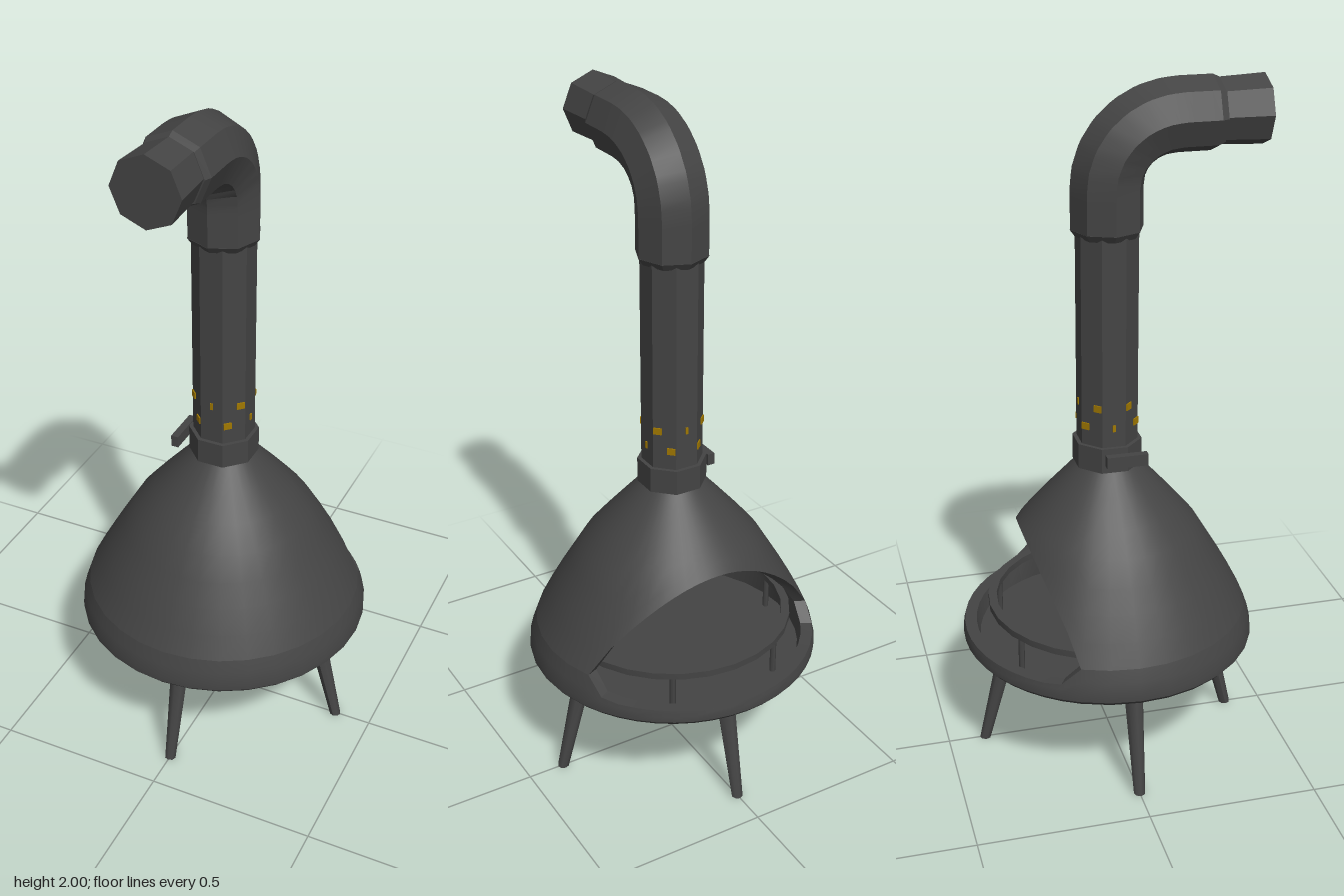
import * as THREE from 'three';
import { toCreasedNormals, mergeVertices } from 'three/addons/utils/BufferGeometryUtils.js';

const iron = new THREE.MeshStandardMaterial({ color: 0x444444, side: THREE.DoubleSide });
iron.name = 'dark iron';
const brass = new THREE.MeshStandardMaterial({ color: 0xa07800 });
brass.name = 'brass';

// Piecewise linear lookup in a list of [input, output] pairs
function lookup(table, v) {
  if (v <= table[0][0]) return table[0][1];
  for (let i = 1; i < table.length; i++) {
    const [a, fa] = table[i - 1], [b, fb] = table[i];
    if (v <= b) return fa + (fb - fa) * (v - a) / (b - a);
  }
  return table[table.length - 1][1];
}

// Hood radius by height, and the mouth's cut depth by height
const HOOD = [[0.37, 0.435], [0.43, 0.42], [0.49, 0.39], [0.56, 0.352], [0.635, 0.307],
  [0.71, 0.262], [0.8, 0.185], [0.905, 0.09]];
const CUT = [[0.445, 0.17], [0.47, 0.172], [0.55, 0.2], [0.71, 0.262]];
const SILL = [[0.17, 0.445], [0.18, 0.42], [0.2, 0.402], [0.25, 0.392], [0.43, 0.388]];
const radius = (y) => lookup(HOOD, y);
const SEAM = 0.445, TOP = 0.905, WALL = 0.035;
const MOUTH = Math.acos(0.17 / radius(SEAM)); // half angle of the mouth, about -z

// Upper edge of the mouth at an angle, by bisection
function upperEdge(a) {
  if (Math.abs(a) >= MOUTH) return SEAM;
  let lo = SEAM, hi = 0.71;
  for (let i = 0; i < 30; i++) {
    const y = (lo + hi) / 2;
    if (radius(y) * Math.cos(a) > lookup(CUT, y)) lo = y; else hi = y;
  }
  return hi;
}

function lowerEdge(a) {
  return Math.abs(a) >= MOUTH ? SEAM : lookup(SILL, 0.425 * Math.cos(a));
}

// Columns: denser across the mouth, then around the back
const angles = [];
for (let i = 0; i <= 18; i++) angles.push(-MOUTH + 2 * MOUTH * i / 18);
for (let i = 1; i <= 20; i++) angles.push(MOUTH + (2 * Math.PI - 2 * MOUTH) * i / 20);

// Sweep a section of [radius, y] points, which varies by angle, around the axis
function sweep(section) {
  const pos = [], index = [];
  let n = 0;
  angles.forEach((a, c) => {
    const pts = section(a > MOUTH + 1e-6 ? Math.PI : a);
    n = pts.length;
    for (const [r, y] of pts) pos.push(r * Math.sin(a), y, -r * Math.cos(a));
    if (c === 0) return;
    for (let j = 0; j < n - 1; j++) {
      const p = (c - 1) * n + j, q = c * n + j;
      index.push(p, p + 1, q, q, p + 1, q + 1);
    }
  });
  const g = new THREE.BufferGeometry();
  g.setAttribute('position', new THREE.Float32BufferAttribute(pos, 3));
  g.setIndex(index);
  return toCreasedNormals(mergeVertices(g), 0.5);
}

export function createModel() {
  const model = new THREE.Group();
  model.name = 'fireplace';
  const add = (name, geo, mat = iron, x = 0, y = 0, z = 0) => {
    const m = new THREE.Mesh(geo, mat);
    m.name = name;
    m.position.set(x, y, z);
    model.add(m);
    return m;
  };

  // Bowl with sill and firebox floor
  add('bowl', sweep((a) => {
    const y = lowerEdge(a), mid = (0.37 + y) / 2;
    return [[0, 0.26], [0.305, 0.26], [0.425, 0.34], [0.435, 0.352], [0.435, 0.37],
      [radius(mid), mid], [radius(y), y], [radius(y) - WALL, y], [0.385, 0.34], [0, 0.34]];
  }));

  // Double-walled hood over the mouth
  add('hood', sweep((a) => {
    const y0 = upperEdge(a), outer = [], inner = [];
    for (let i = 0; i <= 7; i++) {
      const y = y0 + (TOP - y0) * i / 7;
      outer.push([radius(y), y]);
      inner.unshift([radius(y) - WALL, y]);
    }
    return [...inner, ...outer];
  }));

  // Grate ring on posts
  const ring = [[0.333, 0.444], [0.358, 0.444], [0.358, 0.464], [0.333, 0.464], [0.333, 0.444]]
    .map(([r, y]) => new THREE.Vector2(r, y));
  add('grateRing', toCreasedNormals(new THREE.LatheGeometry(ring, 28), 0.5));
  for (let i = 0; i < 6; i++) {
    const a = (i + 0.5) * Math.PI / 3;
    add('gratePost', new THREE.CylinderGeometry(0.009, 0.009, 0.11, 6), iron,
      0.345 * Math.sin(a), 0.392, 0.345 * Math.cos(a));
  }

  // Splayed round legs
  for (let i = 0; i < 4; i++) {
    const leg = new THREE.Group();
    leg.name = 'leg';
    const g = new THREE.CylinderGeometry(0.027, 0.017, 0.28, 8);
    const p = g.attributes.position;
    for (let k = 0; k < p.count; k++) p.setX(k, p.getX(k) + 0.352 - p.getY(k) * 0.25);
    g.translate(0, 0.14, 0);
    g.computeVertexNormals();
    const m = new THREE.Mesh(g, iron);
    m.name = 'legShaft';
    leg.add(m);
    leg.rotation.y = i * Math.PI / 2;
    model.add(leg);
  }

  // Octagonal flue pipe and collar
  const octagon = (rTop, rBottom, h, turn) => toCreasedNormals(
    new THREE.CylinderGeometry(rTop, rBottom, h, 8).rotateY(turn), 0.4);
  add('collar', octagon(0.101, 0.101, 0.075, Math.PI / 8), iron, 0, 0.94, 0);
  add('fluePipe', octagon(0.089, 0.089, 0.7, Math.PI / 8), iron, 0, 1.26, 0);

  // Elbow bending to the front
  add('elbowBase', octagon(0.104, 0.09, 0.02, 0), iron, 0, 1.59, 0);
  const bend = [new THREE.Vector3(0, 1.6, 0)];
  for (let i = 0; i <= 6; i++) {
    const a = i * Math.PI / 12;
    bend.push(new THREE.Vector3(0, 1.72 + 0.177 * Math.sin(a), 0.19 * (1 - Math.cos(a))));
  }
  bend.push(new THREE.Vector3(0, 1.897, 0.29));
  const path = new THREE.CurvePath();
  for (let i = 1; i < bend.length; i++) path.add(new THREE.LineCurve3(bend[i - 1], bend[i]));
  add('elbow', toCreasedNormals(new THREE.TubeGeometry(path, 22, 0.103, 8), 0.5));
  add('elbowNeck', octagon(0.094, 0.103, 0.02, 0).rotateX(Math.PI / 2), iron, 0, 1.897, 0.3);
  add('outlet', octagon(0.097, 0.091, 0.135, 0).rotateX(Math.PI / 2), iron, 0, 1.9, 0.37);

  // Damper handle on the right of the collar
  add('damperStem', new THREE.CylinderGeometry(0.012, 0.012, 0.04, 8).rotateZ(Math.PI / 2),
    iron, -0.1, 0.945, 0);
  add('damperHandle', new THREE.BoxGeometry(0.022, 0.035, 0.12), iron, -0.115, 0.947, 0.03);

  // Brass flue studs, two per diagonal face and one per straight face
  const stud = (a, x, y, size) => {
    const m = add('flueStud', new THREE.BoxGeometry(size, 0.02, 0.006), brass);
    m.position.set(x * Math.cos(a) + 0.083 * Math.sin(a), y, 0.083 * Math.cos(a) - x * Math.sin(a));
    m.rotation.y = a;
  };
  for (let i = 0; i < 4; i++) {
    const a = i * Math.PI / 2, diagonal = a + Math.PI / 4, s = i % 2 ? -1 : 1;
    stud(diagonal, -0.02 * s, 1.035, 0.024);
    stud(diagonal, 0.02 * s, 1.095, 0.024);
    stud(a, 0, i % 2 ? 1.035 : 1.095, 0.008);
  }
  return model;
}
